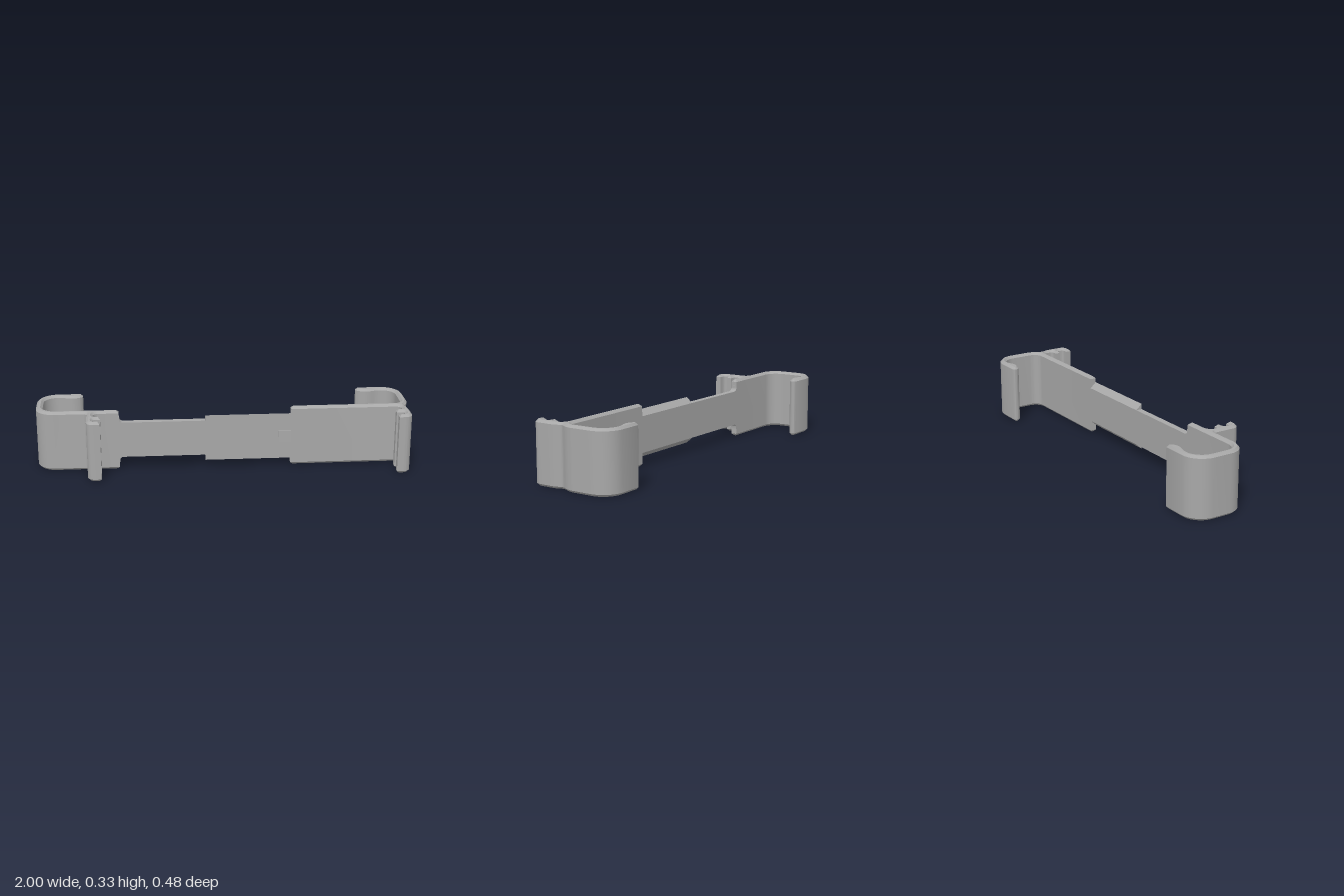
import * as THREE from 'three';
import { toCreasedNormals } from 'three/addons/utils/BufferGeometryUtils.js';

const HEIGHT = 0.33;   // full height of the hooks
const CHAMFER = 0.012; // chamfer on the hook rims
const FRONT = 0.07;    // front face of the bar
const BACK = 0.036;    // back face of the bar

// Closed outline from [x, y, cut] corners; cut is how far the rounding reaches.
function roundedShape(corners) {
  const pts = corners.map(([x, y]) => new THREE.Vector2(x, y));
  const shape = new THREE.Shape();
  const n = pts.length;
  pts.forEach((p, i) => {
    const cut = corners[i][2] || 0;
    const towards = (q) => p.clone().add(q.clone().sub(p).setLength(cut));
    const a = cut ? towards(pts[(i + n - 1) % n]) : p;
    const b = cut ? towards(pts[(i + 1) % n]) : p;
    if (i === 0) shape.moveTo(a.x, a.y);
    else shape.lineTo(a.x, a.y);
    if (cut) {
      const c1 = a.clone().lerp(p, 0.5523);
      const c2 = b.clone().lerp(p, 0.5523);
      shape.bezierCurveTo(c1.x, c1.y, c2.x, c2.y, b.x, b.y);
    }
  });
  shape.closePath();
  return shape;
}

// Upright chamfered part from a plan outline of [x, z, cut] corners.
function uprightGeometry(plan) {
  const shape = roundedShape(plan.map(([x, z, cut]) => [x, -z, cut]));
  const geo = new THREE.ExtrudeGeometry(shape, {
    depth: HEIGHT - 2 * CHAMFER,
    curveSegments: 10,
    bevelEnabled: true,
    bevelSegments: 1,
    bevelSize: CHAMFER,
    bevelThickness: CHAMFER,
    bevelOffset: -CHAMFER,
  });
  geo.rotateX(-Math.PI / 2);
  geo.translate(0, CHAMFER, 0);
  return toCreasedNormals(geo, 0.5);
}

// Two-pronged clip at the front: inner stem wall, prong tips, outer stem wall.
function clipPlan(inner, tip, outer) {
  return [
    [inner, FRONT, 0.03], [inner, 0.134, 0.015],
    [tip, 0.134], [tip, 0.162],
    [inner, 0.162, 0.015], [inner, 0.207, 0.015],
    [tip, 0.207], [tip, 0.238],
    [outer, 0.238, 0.04],
  ];
}

// Back arm with a swollen lip, ending on the inner side of the hook wall.
function armPlan(side, innerCut) {
  return [
    [1, -0.238, 0.11], [0.755, -0.238, 0.014], [0.755, -0.208, 0.015],
    [0.79, -0.187, 0.02], [0.83, -0.187, 0.02], [0.87, -0.204, 0.02],
    [0.965, -0.204, 0.075], [0.965, BACK, innerCut],
  ].map(([x, z, cut]) => [x * side, z, cut]);
}

export function createModel() {
  const group = new THREE.Group();
  const grey = new THREE.MeshStandardMaterial({ color: 0xa8a8a8 });
  grey.name = 'greyPlastic';

  const add = (name, geo) => {
    const mesh = new THREE.Mesh(geo, grey);
    mesh.name = name;
    group.add(mesh);
    return mesh;
  };

  // Right hook, with its clip set in from the end
  add('rightHook', uprightGeometry([
    [-0.56, FRONT],
    ...clipPlan(-0.695, -0.655, -0.728),
    [-0.728, FRONT, 0.02],
    [-1, FRONT, 0.1],
    ...armPlan(-1, 0.075),
    [-0.56, BACK],
  ]));

  // Left hook, with its clip in line with the end wall and a slight waist
  add('leftHook', uprightGeometry([
    [0.36, FRONT],
    ...clipPlan(0.952, 0.912, 0.985),
    [0.985, 0.1, 0.02],
    [0.967, 0.065, 0.017],
    [1, 0.015, 0.035],
    ...armPlan(1, 0.05),
    [0.36, BACK],
  ]));

  // Narrow bar, filleted into the right hook
  const barGeo = new THREE.ExtrudeGeometry(roundedShape([
    [-0.575, 0.04], [-0.557, 0.04], [-0.557, 0.07, 0.018],
    [-0.1, 0.07], [-0.1, 0.265],
    [-0.557, 0.265, 0.018], [-0.557, 0.295], [-0.575, 0.295],
  ]), { depth: FRONT - BACK, bevelEnabled: false, curveSegments: 6 });
  barGeo.translate(0, 0, BACK);
  add('narrowBar', toCreasedNormals(barGeo, 0.5));

  // Dovetail slide, wider at the front than at the back
  const slideGeo = new THREE.ExtrudeGeometry(roundedShape([
    [-FRONT, 0.04], [-BACK, 0.07], [-BACK, 0.265], [-FRONT, 0.295],
  ]), { depth: 0.47, bevelEnabled: false });
  slideGeo.rotateY(Math.PI / 2);
  slideGeo.translate(-0.1, 0, 0);
  add('dovetailSlide', slideGeo);

  // Small latch ramp rising out of the slide
  const latchGeo = new THREE.ExtrudeGeometry(roundedShape([
    [0.29, -0.06], [0.36, -0.06], [0.36, -0.079], [0.295, -0.073],
  ]), { depth: 0.065, bevelEnabled: false });
  latchGeo.rotateX(-Math.PI / 2);
  latchGeo.translate(0, 0.132, 0);
  add('latch', latchGeo);

  return group;
}
